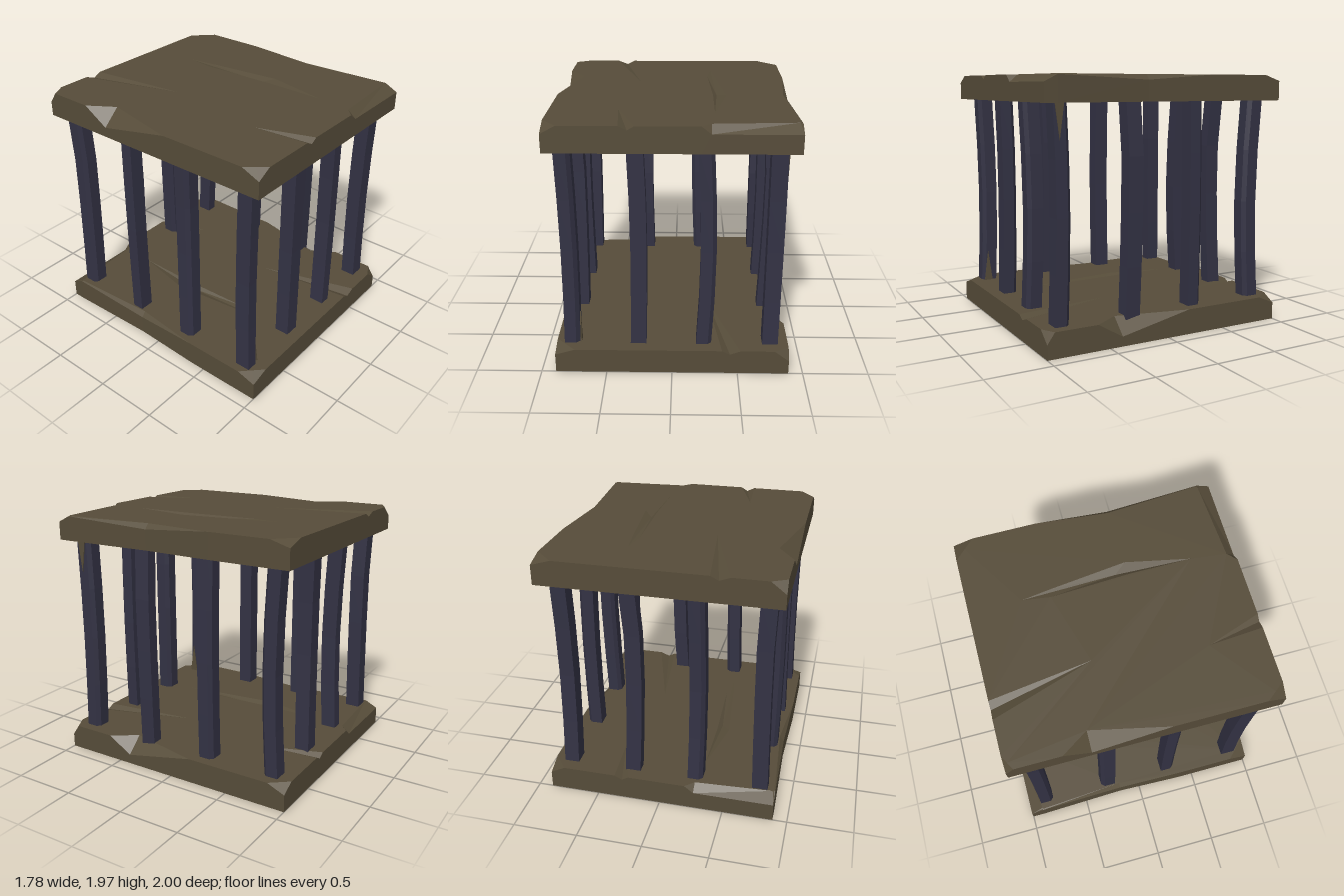
import * as THREE from 'three';

const H = 0.195; // slab thickness
const TOP_Y = 1.77; // underside of the roof slab

// Slab rim, anticlockwise from above: [wall x, wall z, wall height, inset x, inset z]
const RIM = [
  [-0.89, 0.86, H],
  [-0.89, 1, 0.135, -0.835, 0.93], // front corner chip
  [-0.78, 1, H],
  [-0.36, 1, H],
  [-0.3, 1, 0.165, -0.39, 0.59], // front crack
  [-0.25, 1, H],
  [0.2, 1, H],
  [0.27, 1, 0.14, 0.27, 0.935], // long front chip
  [0.89, 1, 0.14, 0.87, 0.9],
  [0.89, 0.9, 0.19, 0.88, 0.89],
  [0.87, 0.18, 0.155, 0.835, 0.18], // worn side
  [0.89, -0.37, H],
  [0.89, -0.85, H],
  [0.89, -1, 0.15, 0.815, -0.925], // rear corner chip
  [0.74, -1, H],
  [-0.38, -1, H],
  [-0.44, -1, 0.165, -0.28, -0.24], // rear crack
  [-0.52, -1, H],
  [-0.78, -1, H],
  [-0.89, -1, 0.11, -0.835, -0.97], // rear corner chip
  [-0.89, -0.94, H],
  [-0.89, -0.6, H],
  [-0.89, -0.4, 0.075, -0.76, -0.4], // deep side notch
  [-0.89, 0.18, H],
];

// Crack in the middle of the slab (x, z) and its lowest point
const CRACK = [[0.3, -0.61], [0.27, -0.4], [0.3, 0.2], [0.3, 0.67], [0.4, 0.19], [0.33, -0.4]];
const CRACK_LOW = [0.33, H - 0.025, 0.1];

function makeSlabGeometry() {
  const pos = [];
  const tri = (a, b, c) => pos.push(...a, ...b, ...c);
  const base = RIM.map(([x, z]) => [x, 0, z]);
  const wall = RIM.map(([x, z, y]) => [x, y, z]);
  const inset = RIM.map(([x, z, , ix = x, iz = z]) => [ix, H, iz]);
  const crack = CRACK.map(([x, z]) => [x, H, z]);
  const flat = (p) => new THREE.Vector2(p[0], -p[2]);
  const same = (a, b) => a.every((v, k) => v === b[k]);

  // Side walls and broken edges
  RIM.forEach((_, i) => {
    const j = (i + 1) % RIM.length;
    tri(base[i], base[j], wall[j]);
    tri(base[i], wall[j], wall[i]);
    if (!same(wall[j], inset[j])) tri(wall[i], wall[j], inset[j]);
    if (!same(wall[i], inset[i])) tri(wall[i], inset[j], inset[i]);
  });
  // Top face around the crack, and the underside
  const top = [...inset, ...crack];
  THREE.ShapeUtils.triangulateShape(inset.map(flat), [crack.map(flat)])
    .forEach(([a, b, c]) => tri(top[a], top[b], top[c]));
  THREE.ShapeUtils.triangulateShape(base.map(flat), [])
    .forEach(([a, b, c]) => tri(base[c], base[b], base[a]));
  // Sunken sides of the crack
  crack.forEach((p, i) => tri(p, crack[(i + 1) % crack.length], CRACK_LOW));

  const geo = new THREE.BufferGeometry();
  geo.setAttribute('position', new THREE.Float32BufferAttribute(pos, 3));
  geo.computeVertexNormals();
  return geo;
}

// Square post with one planed corner, bent by (dx, dz) around the given height
function makeBarGeometry(turn, dx, dz, peak) {
  const section = [[-0.06, -0.058], [0.06, -0.058], [0.06, 0.03], [0.033, 0.058], [-0.06, 0.058]];
  const shape = new THREE.Shape(section.map(([x, y]) => new THREE.Vector2(x, y)));
  const geo = new THREE.ExtrudeGeometry(shape, { depth: 1.64, steps: 4, bevelEnabled: false });
  geo.rotateX(-Math.PI / 2).rotateY(turn * Math.PI / 2).translate(0, 0.15, 0);
  const p = geo.attributes.position;
  for (let i = 0; i < p.count; i++) {
    const y = p.getY(i);
    const t = y < peak ? (y - 0.15) / (peak - 0.15) : (1.79 - y) / (1.79 - peak);
    const bend = Math.sin(t * Math.PI / 2);
    p.setX(i, p.getX(i) + dx * bend);
    p.setZ(i, p.getZ(i) + dz * bend);
  }
  geo.computeVertexNormals();
  return geo;
}

export function createModel() {
  const wood = new THREE.MeshStandardMaterial({ color: 0x564c39 });
  wood.name = 'brown wood';
  const iron = new THREE.MeshStandardMaterial({ color: 0x333244 });
  iron.name = 'dark iron';

  const model = new THREE.Group();
  model.name = 'cage';
  const add = (name, geo, mat, parent = model) => {
    const mesh = new THREE.Mesh(geo, mat);
    mesh.name = name;
    parent.add(mesh);
    return mesh;
  };

  // Floor and roof are the same slab, turned half round
  const slab = makeSlabGeometry();
  add('floorSlab', slab, wood).rotation.y = Math.PI;
  add('roofSlab', slab, wood).position.y = TOP_Y;

  // Twelve bars: [x, z, quarter turns, bend x, bend z, height of bend]
  const bars = new THREE.Group();
  bars.name = 'bars';
  model.add(bars);
  const layout = [
    [-0.77, 0.845, 3, 0.01, -0.02, 0.95],
    [-0.26, 0.845, 0, 0.015, -0.01, 1.1],
    [0.24, 0.845, 3, 0.03, -0.015, 0.95],
    [0.75, 0.845, 0, 0.005, -0.02, 1],
    [0.75, 0.27, 1, 0.03, -0.01, 1.35],
    [0.75, -0.28, 0, 0.015, 0, 1],
    [0.75, -0.84, 3, -0.005, 0.035, 1],
    [0.24, -0.84, 2, -0.03, 0.02, 1.2],
    [-0.26, -0.84, 1, -0.01, 0.035, 0.95],
    [-0.77, -0.84, 2, 0.015, 0.01, 1.35],
    [-0.77, -0.28, 1, -0.01, 0.005, 1],
    [-0.77, 0.27, 2, 0.015, -0.01, 1.35],
  ];
  for (const [x, z, turn, dx, dz, peak] of layout) {
    add('bar', makeBarGeometry(turn, dx, dz, peak), iron, bars).position.set(x, 0, z);
  }

  // Wooden splinters on the sides of two corner bars
  const splinter = new THREE.ExtrudeGeometry(
    new THREE.Shape([[-0.035, 0], [0.035, 0], [0, 0.26]].map(([x, y]) => new THREE.Vector2(x, y))),
    { depth: 0.008, bevelEnabled: false }
  ).rotateY(Math.PI / 2);
  add('lowerSplinter', splinter, wood).position.set(-0.706, 0.19, 0.855);
  const upper = add('upperSplinter', splinter, wood);
  upper.position.set(0.818, 1.775, 0.855);
  upper.rotation.z = Math.PI;

  return model;
}
